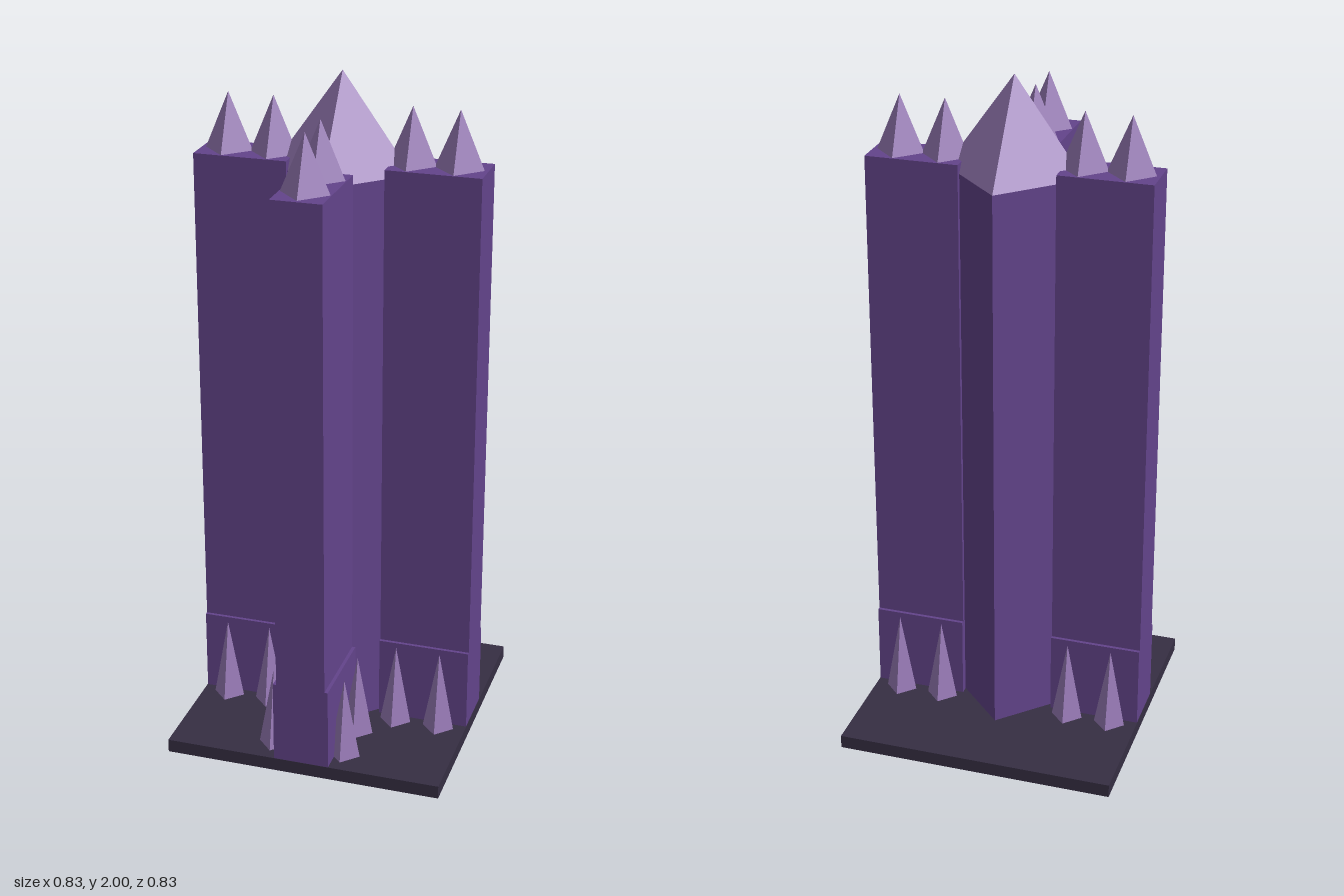
import * as THREE from 'three';

export function createModel() {
  const mat = (name, color) => {
    const m = new THREE.MeshStandardMaterial({ color, flatShading: true });
    m.name = name;
    return m;
  };
  const stone = mat('dark stone', 0x362e43);
  const purple = mat('deep purple', 0x63448b);
  const crystal = mat('pale crystal', 0x9a7cb9);

  const model = new THREE.Group();
  model.name = 'crystalTower';

  const add = (parent, name, geometry, material, x, y, z) => {
    const mesh = new THREE.Mesh(geometry, material);
    mesh.name = name;
    mesh.position.set(x, y, z);
    parent.add(mesh);
  };
  // Box standing on height y
  const box = (parent, name, w, h, d, x, y, z, material) =>
    add(parent, name, new THREE.BoxGeometry(w, h, d), material, x, y + h / 2, z);
  // Four-sided spike standing on height y, corners along the axes
  const spike = (parent, name, r, h, x, y, z) =>
    add(parent, name, new THREE.ConeGeometry(r, h, 4), crystal, x, y + h / 2, z);

  // Base slab
  box(model, 'base', 0.83, 0.04, 0.83, 0, 0, 0, stone);

  // Central diamond column with its large point
  add(model, 'centralColumn', new THREE.CylinderGeometry(0.2, 0.2, 1.68, 4), purple, 0, 0.88, 0);
  spike(model, 'centralPoint', 0.2, 0.28, 0, 1.72, 0);

  // Three wings: built along +x, then turned to the right, front and left
  const wings = [['leftWing', 0], ['frontWing', -Math.PI / 2], ['rightWing', Math.PI]];
  for (const [name, angle] of wings) {
    const wing = new THREE.Group();
    wing.name = name;
    wing.rotation.y = angle;
    model.add(wing);
    box(wing, 'wingFoot', 0.273, 0.25, 0.166, 0.2775, 0.04, 0, purple);
    box(wing, 'wingWall', 0.273, 1.46, 0.146, 0.2775, 0.29, 0, purple);
    for (const x of [0.2, 0.333]) {
      spike(wing, 'topSpike', 0.07, 0.165, x, 1.75, 0);
      for (const z of [-0.108, 0.108]) spike(wing, 'footSpike', 0.047, 0.25, x, 0.04, z);
    }
  }
  return model;
}
